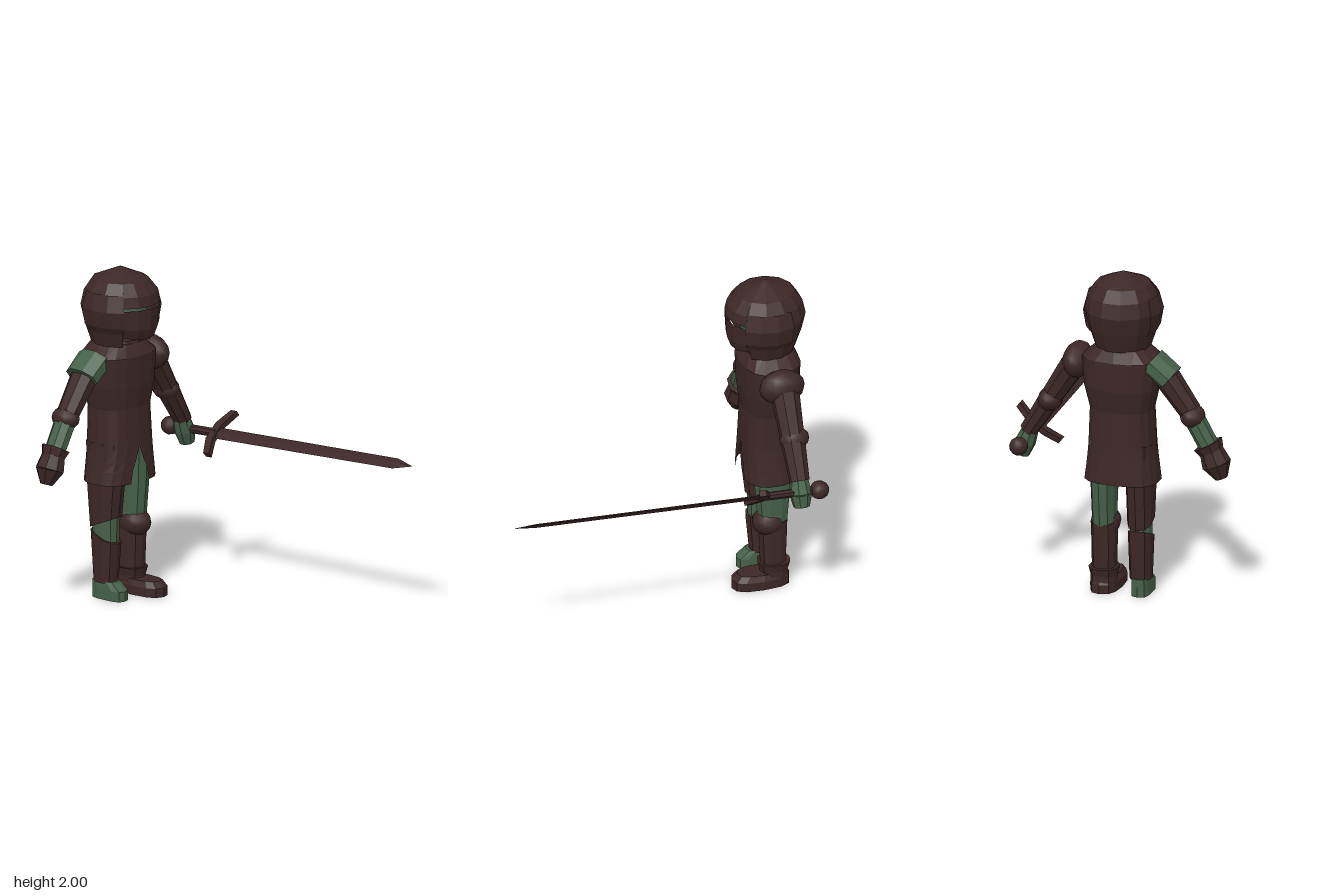
import * as THREE from 'three';

const steel = new THREE.MeshStandardMaterial({ color: 0x3d2727, side: THREE.DoubleSide });
steel.name = 'dark armour';
const cloth = new THREE.MeshStandardMaterial({ color: 0x456048, side: THREE.DoubleSide });
cloth.name = 'green cloth';

const CX = -0.77, CZ = 0.03;
const V = (x, y, z) => new THREE.Vector3(x, y, z);

function flat(geo) {
  const g = geo.index ? geo.toNonIndexed() : geo;
  g.computeVertexNormals();
  return g;
}

function add(parent, name, geo, mat) {
  const mesh = new THREE.Mesh(geo, mat);
  mesh.name = name;
  parent.add(mesh);
  return mesh;
}

// Skin over rings listed bottom to top; angle 0 faces +x.
// Ring: y, cx, cz, rx, rz, tilt (rise per unit x), from/to angles. power < 1 makes it boxier.
function loft(rings, sides, { power = 1, caps = true } = {}) {
  const pos = [], idx = [], n = sides + 1;
  const bend = (v) => Math.sign(v) * Math.pow(Math.abs(v), power);
  for (const { y, cx = CX, cz = CZ, rx, rz = rx, tilt = 0, from = 0, to = Math.PI * 2 } of rings) {
    for (let j = 0; j < n; j++) {
      const a = from + (to - from) * j / sides;
      const x = rx * bend(Math.cos(a));
      pos.push(cx + x, y + tilt * x, cz + rz * bend(Math.sin(a)));
    }
  }
  for (let i = 0; i < rings.length - 1; i++) {
    for (let j = 0; j < sides; j++) {
      const a = i * n + j, b = a + n;
      idx.push(a, b, a + 1, a + 1, b, b + 1);
    }
  }
  if (caps) {
    const top = (rings.length - 1) * n;
    for (let j = 1; j < sides - 1; j++) idx.push(0, j, j + 1, top, top + j + 1, top + j);
  }
  const g = new THREE.BufferGeometry();
  g.setAttribute('position', new THREE.Float32BufferAttribute(pos, 3));
  g.setIndex(idx);
  return flat(g);
}

// Tapered segment from a to b, widened along x
function limb(parent, name, mat, a, b, ra, rb, sides = 8, wide = 1.1) {
  const geo = new THREE.CylinderGeometry(rb, ra, a.distanceTo(b), sides);
  geo.rotateY(Math.PI / sides);
  geo.scale(wide, 1, 1);
  const m = add(parent, name, flat(geo), mat);
  m.position.copy(a).lerp(b, 0.5);
  m.quaternion.setFromUnitVectors(V(0, 1, 0), b.clone().sub(a).normalize());
}

function ball(parent, name, mat, x, y, z, rx, ry, rz) {
  const m = add(parent, name, new THREE.SphereGeometry(1, 12, 8), mat);
  m.position.set(x, y, z);
  m.scale.set(rx, ry, rz);
}

function makeHead() {
  const g = new THREE.Group();
  g.name = 'helmetedHead';
  ball(g, 'head', cloth, -0.765, 1.74, CZ, 0.165, 0.19, 0.17);
  const q = Math.PI / 4;
  const ring = (y, r, from, to, tilt = 0) => ({ y, cx: -0.76, rx: r, rz: r * 0.95, from, to, tilt });
  const shell = (name, profile, from, to, sides) => add(g, name,
    loft(profile.map(([y, r, t]) => ring(y, r, from, to, t)), sides, { caps: false }), steel);
  // Back and sides of the helmet, then the visor halves around the eye slit
  shell('helmetShell', [[1.545, 0.175], [1.66, 0.215], [1.77, 0.24], [1.86, 0.22], [1.93, 0.172], [2, 0.001]], q, 7 * q, 9);
  shell('visorTop', [[1.795, 0.242], [1.86, 0.228], [1.93, 0.172], [2, 0.001]], -q, q, 4);
  shell('visorBottom', [[1.66, 0.212, -0.33], [1.7, 0.235, -0.2], [1.78, 0.242]], -q, q, 4);
  // Raised visor cheeks
  shell('visorCheek', [[1.63, 0.205], [1.67, 0.232], [1.77, 0.25], [1.87, 0.222]], q, q * 2.6, 3);
  shell('visorCheek', [[1.63, 0.205], [1.67, 0.232], [1.77, 0.25], [1.87, 0.222]], -q * 2.6, -q, 3);
  add(g, 'collar', loft([{ y: 1.52, rx: 0.14, rz: 0.15 }, { y: 1.565, rx: 0.125, rz: 0.135 }], 12), steel);
  return g;
}

function makeTorso() {
  const g = new THREE.Group();
  g.name = 'torso';
  const chest = [
    { y: 0.93, cx: -0.765, rx: 0.156, rz: 0.2 },
    { y: 1.16, rx: 0.15, rz: 0.19 },
    { y: 1.3, cx: -0.775, rx: 0.173, rz: 0.222 },
    { y: 1.48, cx: -0.775, rx: 0.177, rz: 0.235 },
    { y: 1.55, cx: -0.78, rx: 0.14, rz: 0.15 },
  ];
  add(g, 'breastplate', loft(chest, 16, { power: 0.75 }), steel);
  // Skirt with an arched opening at the front
  const skirt = [[0.71, 0.165, 0.227, 0.25], [0.79, 0.162, 0.216, 0.19], [0.85, 0.159, 0.208, 0.08], [0.93, 0.156, 0.2, 0]]
    .map(([y, rx, rz, gap]) => ({ y, cx: -0.765, rx, rz, from: gap, to: Math.PI * 2 - gap }));
  add(g, 'skirt', loft(skirt, 16, { power: 0.75, caps: false }), steel);
  return g;
}

function makeRightArm() {
  const g = new THREE.Group();
  g.name = 'rightArm';
  const X = -0.79;
  limb(g, 'shoulder', cloth, V(X, 1.47, 0.22), V(X, 1.375, 0.34), 0.08, 0.078, 8, 1.45);
  limb(g, 'upperArm', steel, V(X, 1.37, 0.32), V(X, 1.18, 0.46), 0.078, 0.066);
  ball(g, 'elbow', steel, -0.795, 1.155, 0.475, 0.09, 0.07, 0.073);
  limb(g, 'forearm', cloth, V(X, 1.155, 0.475), V(X, 0.96, 0.585), 0.062, 0.06, 8);
  limb(g, 'gloveCuff', steel, V(X, 0.99, 0.568), V(X, 0.945, 0.592), 0.092, 0.075, 8, 0.95);
  limb(g, 'glove', steel, V(X, 0.96, 0.585), V(X, 0.87, 0.622), 0.07, 0.088, 8, 1);
  limb(g, 'fingers', steel, V(X, 0.87, 0.622), V(X, 0.785, 0.652), 0.088, 0.038, 8, 1);
  return g;
}

function makeLeftArm() {
  const g = new THREE.Group();
  g.name = 'leftArm';
  const X = -0.785;
  ball(g, 'pauldron', steel, -0.775, 1.42, -0.245, 0.14, 0.107, 0.088);
  limb(g, 'upperArm', steel, V(X, 1.39, -0.27), V(X, 1.16, -0.415), 0.08, 0.066);
  ball(g, 'elbow', steel, -0.795, 1.16, -0.412, 0.092, 0.07, 0.073);
  limb(g, 'forearm', steel, V(X, 1.16, -0.415), V(X, 0.945, -0.55), 0.068, 0.055);
  limb(g, 'hand', cloth, V(X, 0.95, -0.54), V(X, 0.87, -0.57), 0.05, 0.062, 8);
  limb(g, 'fist', cloth, V(X, 0.87, -0.57), V(X, 0.795, -0.59), 0.062, 0.045, 8);
  return g;
}

function makeLegs() {
  const g = new THREE.Group();
  g.name = 'legs';
  const piece = (name, mat, cz, rings, sides = 10, power = 0.85) => add(g, name, loft(
    rings.map(([y, rx, rz, tilt = 0, cx = CX]) => ({ y, cx, cz, rx, rz, tilt })), sides, { power }), mat);
  // Right leg: armour plates parted at the knee, cloth below
  const R = 0.145, L = -0.083;
  piece('rightKnee', cloth, R, [[0.28, 0.08, 0.063], [0.55, 0.088, 0.063]]);
  piece('rightThigh', steel, R, [[0.46, 0.098, 0.077, 0.42], [0.7, 0.122, 0.084], [0.95, 0.13, 0.085]]);
  piece('rightShin', steel, R, [[0.1, 0.072, 0.066], [0.38, 0.095, 0.074, -0.4]]);
  piece('rightFoot', cloth, 0.147, [[0, 0.117, 0.055, 0, -0.735], [0.06, 0.117, 0.055, 0, -0.735], [0.11, 0.085, 0.052, 0, -0.765]], 10, 0.6);
  // Left leg: cloth thigh, armoured knee and boot
  piece('leftThigh', cloth, L, [[0.42, 0.09, 0.068], [0.7, 0.115, 0.077], [0.95, 0.125, 0.08]]);
  ball(g, 'leftKnee', steel, -0.745, 0.42, L, 0.103, 0.087, 0.09);
  piece('leftShin', steel, L, [[0.08, 0.075, 0.07], [0.3, 0.085, 0.075], [0.43, 0.09, 0.075]]);
  piece('leftBootCuff', steel, L, [[0.03, 0.09, 0.08, 0, -0.775], [0.1, 0.085, 0.078, 0, -0.775], [0.15, 0.1, 0.09, 0, -0.775]]);
  piece('leftBoot', steel, L, [[0, 0.178, 0.087, 0, -0.693], [0.055, 0.178, 0.087, 0, -0.693], [0.09, 0.15, 0.07, 0, -0.7]], 12, 0.75);
  return g;
}

// Sword along local y, blade width along local x
function makeSword() {
  const g = new THREE.Group();
  g.name = 'sword';
  const ring = (y, rx, rz) => ({ y, cx: 0, cz: 0, rx, rz });
  add(g, 'blade', loft([ring(0.34, 0.041, 0.012), ring(1.76, 0.038, 0.011), ring(1.89, 0.001, 0.001)], 4), steel);
  add(g, 'grip', loft([ring(0, 0.026, 0.026), ring(0.36, 0.028, 0.024)], 8), steel);
  ball(g, 'pommel', steel, 0, 0, 0, 0.056, 0.058, 0.056);
  const pts = [[-0.165, 0.42], [-0.05, 0.375], [0.05, 0.375], [0.165, 0.42], [0.165, 0.375], [0.06, 0.325], [-0.06, 0.325], [-0.165, 0.375]];
  const guard = new THREE.ExtrudeGeometry(new THREE.Shape(pts.map(([x, y]) => new THREE.Vector2(x, y))),
    { depth: 0.036, bevelEnabled: false });
  guard.translate(0, 0, -0.018);
  add(g, 'crossguard', flat(guard), steel);

  const dir = V(1.89, 0.088, -0.012).normalize();
  const wide = V(0, 0.62, -0.78).projectOnPlane(dir).normalize();
  g.quaternion.setFromRotationMatrix(new THREE.Matrix4().makeBasis(wide, dir, wide.clone().cross(dir)));
  g.position.set(-0.9, 0.878, -0.573);
  return g;
}

export function createModel() {
  const model = new THREE.Group();
  model.name = 'armouredSwordsman';
  model.add(makeHead(), makeTorso(), makeRightArm(), makeLeftArm(), makeLegs(), makeSword());
  return model;
}
